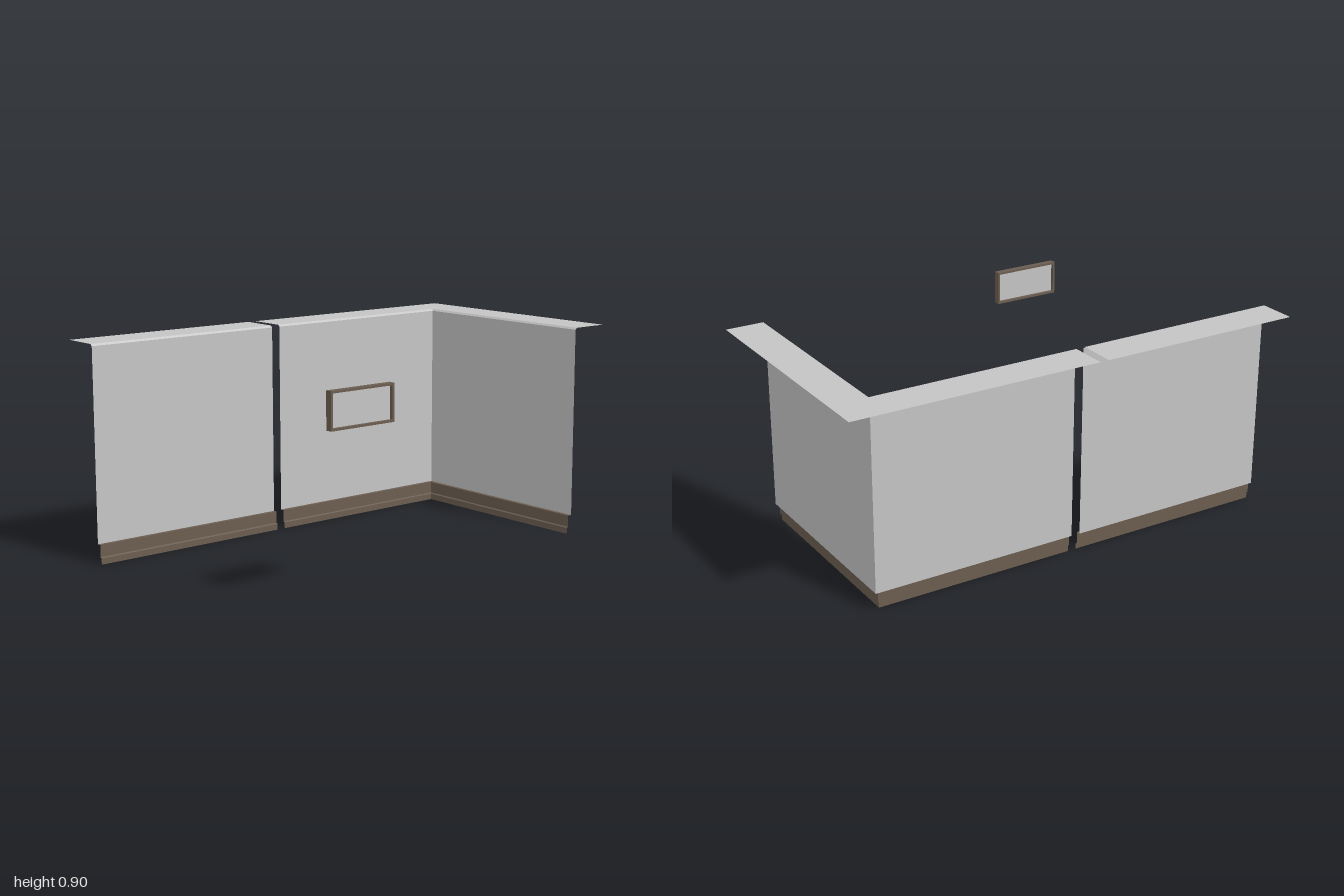
import * as THREE from 'three';

const plaster = new THREE.MeshStandardMaterial({ color: 0xc4c4c4, side: THREE.DoubleSide });
plaster.name = 'pale grey plaster';
const wood = new THREE.MeshStandardMaterial({ color: 0x6b5d50, side: THREE.DoubleSide });
wood.name = 'brown wood';

// Profiles as [distance inward from the outer edge, height], listed from top to bottom
const copingProfile = [[0, 0.896], [0.162, 0.896], [0.17, 0.888]];
const wallProfile = [[0.17, 0.888], [0.17, 0.08]];
const skirtingProfile = [[0.17, 0.08], [0.188, 0.08], [0.188, 0.03], [0.195, 0.026], [0.195, 0]];

// Floor plans: for an inward distance d, the [x, z] points of the run
const OUTER_X = -0.651;
const straightPlan = d => [[OUTER_X + d, 1], [OUTER_X + d, 0.105]];
const cornerPlan = d => [[OUTER_X + d, 0.066], [OUTER_X + d, -1 + d], [0.414, -1 + d]];

// Sweeps a profile along a plan with mitred corners and hard edges
function sweep(name, profile, plan, material) {
  const rows = profile.map(([d, y]) => plan(d).map(([x, z]) => [x, y, z]));
  const positions = [];
  for (let i = 0; i < rows.length - 1; i++) {
    for (let j = 0; j < rows[i].length - 1; j++) {
      const a = rows[i][j], b = rows[i + 1][j], c = rows[i + 1][j + 1], d = rows[i][j + 1];
      positions.push(...a, ...b, ...c, ...a, ...c, ...d);
    }
  }
  const geometry = new THREE.BufferGeometry();
  geometry.setAttribute('position', new THREE.Float32BufferAttribute(positions, 3));
  geometry.computeVertexNormals();
  const mesh = new THREE.Mesh(geometry, material);
  mesh.name = name;
  return mesh;
}

function wallSection(name, plan) {
  const group = new THREE.Group();
  group.name = name;
  group.add(
    sweep('coping', copingProfile, plan, plaster),
    sweep('wallPanel', wallProfile, plan, plaster),
    sweep('skirting', skirtingProfile, plan, wood),
  );
  return group;
}

// Thin rectangular window frame with a recessed pane
function windowUnit() {
  const group = new THREE.Group();
  group.name = 'window';
  const w = 0.302, h = 0.147, depth = 0.028, border = 0.009;
  const rectangle = (target, rw, rh) => {
    target.moveTo(-rw / 2, -rh / 2);
    target.lineTo(rw / 2, -rh / 2);
    target.lineTo(rw / 2, rh / 2);
    target.lineTo(-rw / 2, rh / 2);
    target.closePath();
    return target;
  };
  const outline = rectangle(new THREE.Shape(), w, h);
  outline.holes.push(rectangle(new THREE.Path(), w - 2 * border, h - 2 * border));
  const frameGeometry = new THREE.ExtrudeGeometry(outline, { depth, bevelEnabled: false });
  frameGeometry.translate(0, 0, -depth / 2);
  const frame = new THREE.Mesh(frameGeometry, wood);
  frame.name = 'windowFrame';
  const pane = new THREE.Mesh(new THREE.PlaneGeometry(w - 2 * border, h - 2 * border), plaster);
  pane.name = 'windowPane';
  group.add(frame, pane);
  group.rotation.y = Math.PI / 2;
  group.position.set(0.637, 0.746, 0.553);
  return group;
}

export function createModel() {
  const model = new THREE.Group();
  model.name = 'roomWallKit';
  model.add(
    wallSection('straightWall', straightPlan),
    wallSection('cornerWall', cornerPlan),
    windowUnit(),
  );
  return model;
}
